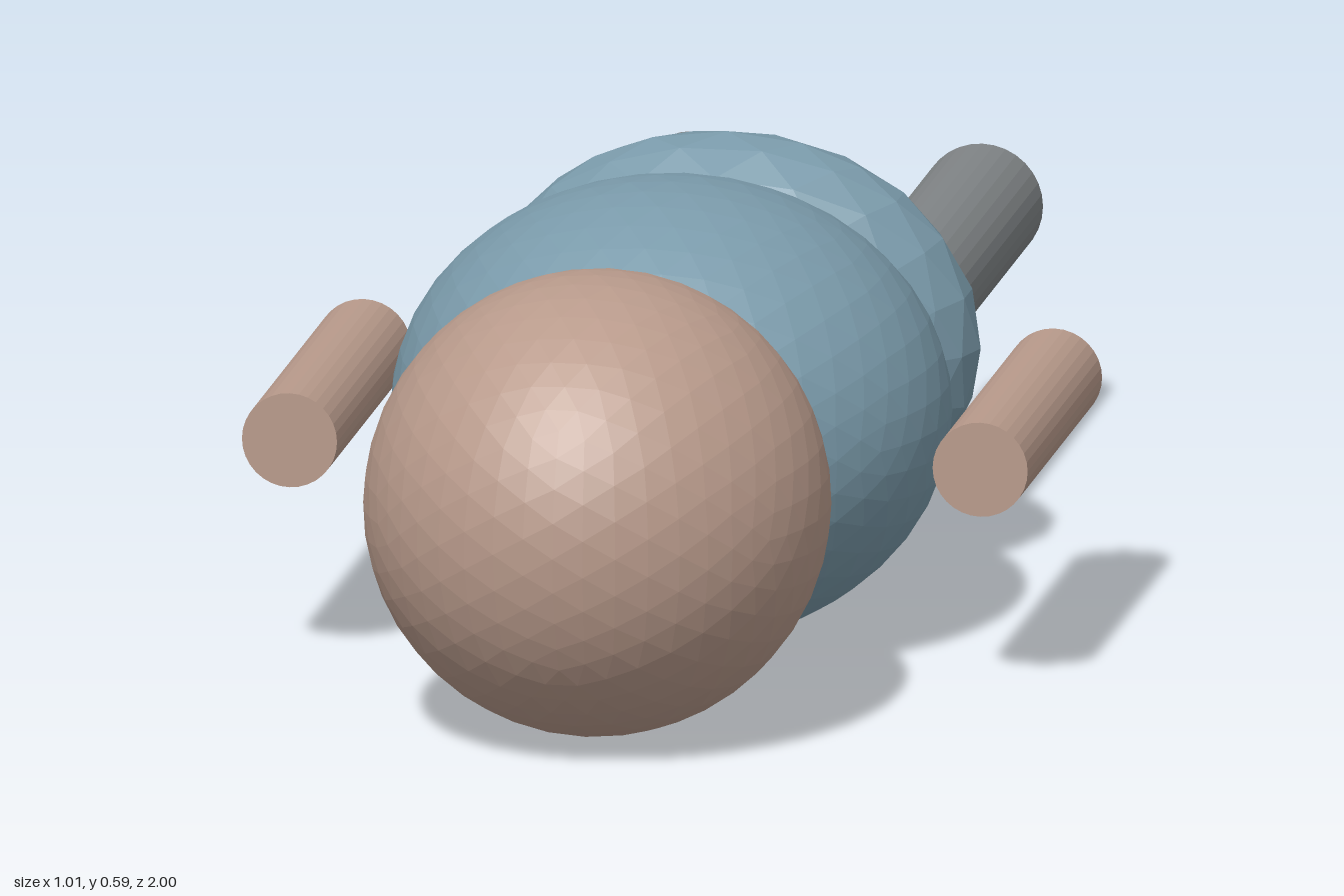
import * as THREE from 'three';

const mat = (name, color) => {
  const m = new THREE.MeshStandardMaterial({ color, flatShading: true });
  m.name = name;
  return m;
};

export function createModel() {
  const skin = mat('skin', 0xb89a8b);
  const shirt = mat('blue cloth', 0x7a9aaa);
  const trousers = mat('grey cloth', 0x808486);
  const group = new THREE.Group();
  const midY = 0.3;

  // Faceted ellipsoid on the body axis
  const ellipsoid = (name, material, detail, z, rx, ry, rz) => {
    const mesh = new THREE.Mesh(new THREE.IcosahedronGeometry(1, detail), material);
    mesh.name = name;
    mesh.scale.set(rx, ry, rz);
    mesh.position.set(0, midY, z);
    group.add(mesh);
  };

  // Straight limb along z
  const limb = (name, material, x, radius, z0, z1) => {
    const geo = new THREE.CylinderGeometry(radius, radius, z1 - z0, 32);
    geo.rotateX(Math.PI / 2);
    const mesh = new THREE.Mesh(geo, material);
    mesh.name = name;
    mesh.position.set(x, midY, (z0 + z1) / 2);
    group.add(mesh);
  };

  ellipsoid('head', skin, 7, 0.682, 0.295, 0.295, 0.315);
  ellipsoid('torso', shirt, 7, 0.165, 0.355, 0.295, 0.35);
  ellipsoid('pelvis', shirt, 3, -0.227, 0.325, 0.268, 0.174);

  // Mirrored arms and legs
  for (const [side, s] of [['left', 1], ['right', -1]]) {
    limb(side + 'Arm', skin, s * 0.443, 0.061, -0.1, 0.42);
    limb(side + 'Leg', trousers, s * 0.185, 0.078, -1, -0.355);
  }
  return group;
}
